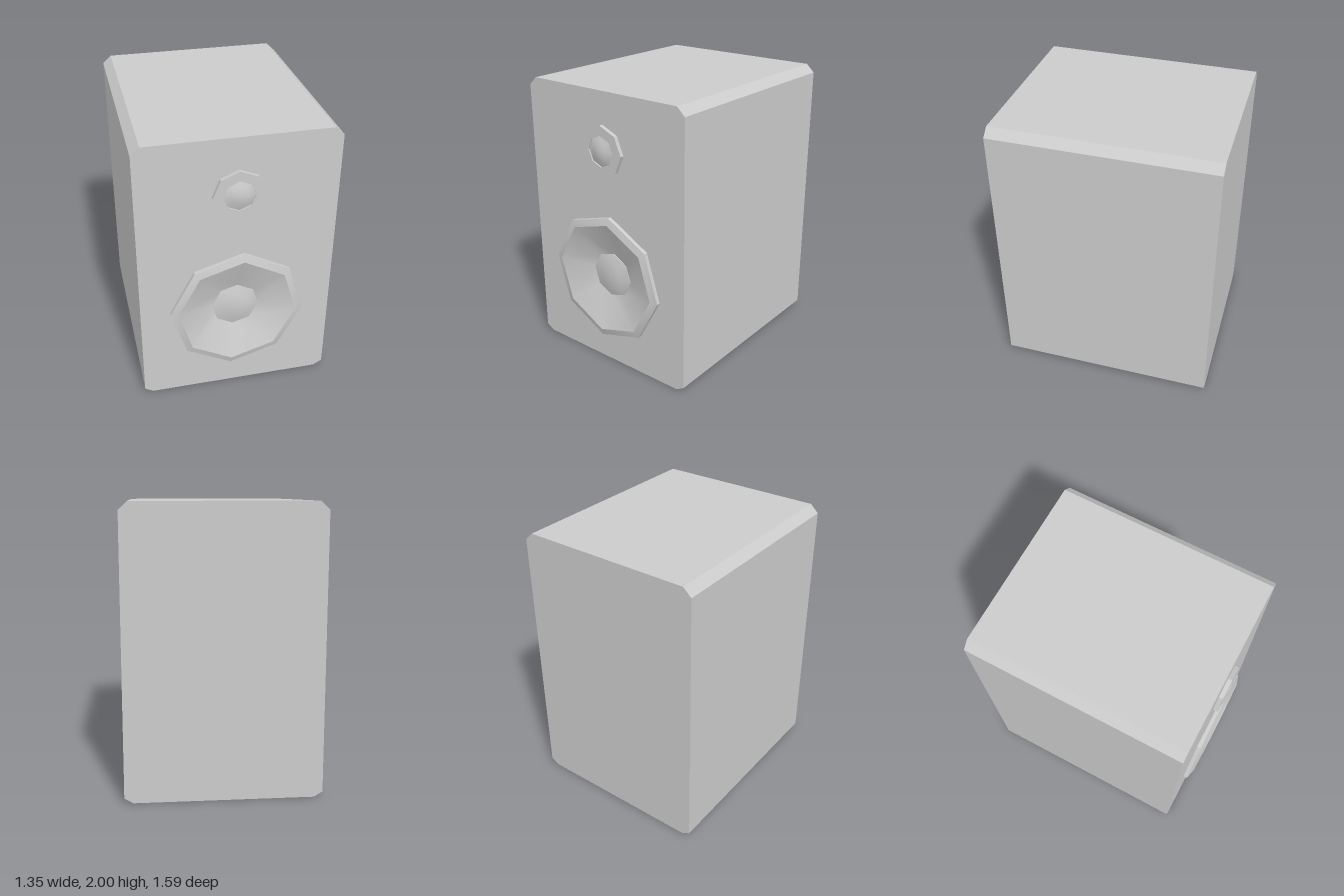
import * as THREE from 'three';
import { mergeGeometries, toCreasedNormals } from 'three/addons/utils/BufferGeometryUtils.js';

const FRONT = 0.748, BACK = -0.795, SIDES = 8;
const WOOFER_Y = 0.667, TWEETER_Y = 1.598;
const TILT = THREE.MathUtils.degToRad(-5.5);

const material = new THREE.MeshStandardMaterial({ color: 0xcccccc });

function addMesh(parent, name, geometry) {
  const mesh = new THREE.Mesh(geometry, material);
  mesh.name = name;
  parent.add(mesh);
  return mesh;
}

// Turned eight-sided part facing +z; profile is [radius, z] pairs from back to front
function turned(profile, tilt) {
  const points = profile.map(([r, z]) => new THREE.Vector2(r, z));
  const geometry = new THREE.LatheGeometry(points, SIDES, tilt);
  geometry.rotateX(Math.PI / 2);
  return toCreasedNormals(geometry, 0.42);
}

// Cabinet: chamfered outline with a hollow for the woofer in its front face
function cabinetGeometry() {
  const outline = [
    [-0.615, 0], [0.615, 0], [0.675, 0.036], [0.675, 1.944],
    [0.615, 2], [-0.615, 2], [-0.675, 1.944], [-0.675, 0.036],
  ].map(([x, y]) => new THREE.Vector2(x, y));

  const frontShape = new THREE.Shape(outline);
  const hole = [];
  for (let i = 0; i < SIDES; i++) {
    const a = TILT - (i / SIDES) * Math.PI * 2;
    hole.push(new THREE.Vector2(Math.sin(a) * 0.455, WOOFER_Y - Math.cos(a) * 0.455));
  }
  frontShape.holes.push(new THREE.Path(hole));
  const front = new THREE.ShapeGeometry(frontShape).translate(0, 0, FRONT);

  const back = new THREE.ShapeGeometry(new THREE.Shape(outline));
  back.rotateY(Math.PI).translate(0, 0, BACK);

  const walls = outline.map((a, i) => {
    const b = outline[(i + 1) % outline.length];
    const wall = new THREE.PlaneGeometry(a.distanceTo(b), FRONT - BACK);
    wall.rotateX(Math.PI / 2);
    wall.rotateZ(Math.atan2(b.y - a.y, b.x - a.x));
    return wall.translate((a.x + b.x) / 2, (a.y + b.y) / 2, (FRONT + BACK) / 2);
  });
  return mergeGeometries([front, back, ...walls].map((g) => g.toNonIndexed()));
}

export function createModel() {
  const model = new THREE.Group();
  model.name = 'bookshelfSpeaker';

  addMesh(model, 'cabinet', cabinetGeometry());

  // Woofer: raised rim, sunken cone and a shallow dust cap
  const woofer = new THREE.Group();
  woofer.name = 'woofer';
  woofer.position.y = WOOFER_Y;
  model.add(woofer);
  addMesh(woofer, 'wooferRimAndCone', turned([
    [0.472, FRONT], [0.472, 0.775], [0.42, 0.79], [0.16, 0.695],
  ], TILT));
  addMesh(woofer, 'dustCap', turned([
    [0.167, 0.69], [0.167, 0.702], [0.09, 0.722], [0, 0.73],
  ], TILT));

  // Tweeter: flat ring with a small dome set into it
  const tweeter = new THREE.Group();
  tweeter.name = 'tweeter';
  tweeter.position.y = TWEETER_Y;
  model.add(tweeter);
  addMesh(tweeter, 'tweeterRing', turned([
    [0.178, FRONT], [0.178, 0.776], [0.108, 0.776], [0.108, 0.76],
  ], 0));
  addMesh(tweeter, 'tweeterDome', turned([
    [0.108, 0.766], [0.06, 0.783], [0, 0.795],
  ], 0));

  return model;
}
